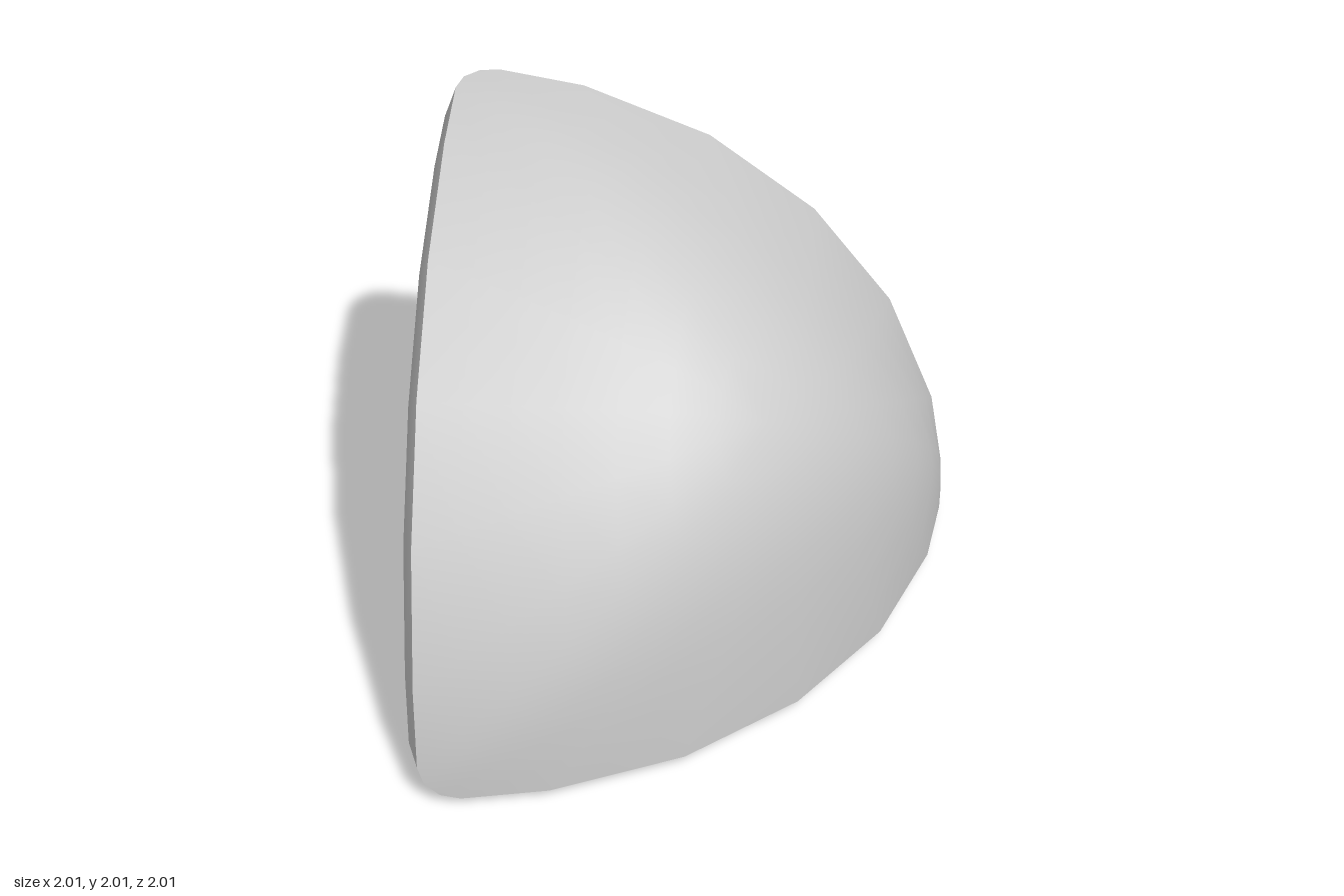
import * as THREE from 'three';

// An eighth of a ball with a cube notch cut from its inner corner.
// Worked out with the ball's centre at the origin, in the positive octant.
const R = 2.01;      // dome radius at the rim
const SWELL = 0.4;   // how far the dome swells into three panels (0 is a sphere, 0.5 is three cylinders)
const RIM = 1.885;   // where the rim chamfer meets the flat faces
const INSET = 0.05;  // dome edge distance from the flat faces
const r = 0.2;       // rounding of the outer edges
const e = 0.14;      // depth of the notch edge rounding
const w = 1.035;     // notch size
const q = w + e;
const ARC = 6, ROUND = 3, RINGS = 7;
const rad = THREE.MathUtils.degToRad;
const V = (x, y, z) => new THREE.Vector3(x, y, z);

// Collects grid patches, each repeated on the three axes
class Surface {
  constructor() { this.pos = []; this.nor = []; }

  triangle(corners) {
    const [a, b, c] = corners.map((corner) => corner.p);
    const face = b.clone().sub(a).cross(c.clone().sub(a));
    if (face.length() < 1e-9) return;
    const mean = corners.reduce((s, corner) => s.add(corner.n), V(0, 0, 0));
    const ordered = face.dot(mean) < 0 ? [corners[0], corners[2], corners[1]] : corners;
    for (let turn = 0; turn < 3; turn++) {
      for (const { p, n } of ordered) {
        const cycle = (v) => [v.getComponent(turn), v.getComponent((turn + 1) % 3), v.getComponent((turn + 2) % 3)];
        this.pos.push(...cycle(p));
        this.nor.push(...cycle(n));
      }
    }
  }

  // fn(i, j) gives a point p and its outward normal n
  patch(i0, i1, rows, fn) {
    for (let i = i0; i < i1; i++) {
      for (let j = 0; j < rows; j++) {
        const a = fn(i, j), b = fn(i + 1, j), c = fn(i + 1, j + 1), d = fn(i, j + 1);
        this.triangle([a, b, c]);
        this.triangle([a, c, d]);
      }
    }
  }

  mesh(name) {
    const g = new THREE.BufferGeometry();
    g.setAttribute('position', new THREE.Float32BufferAttribute(this.pos, 3));
    g.setAttribute('normal', new THREE.Float32BufferAttribute(this.nor, 3));
    g.translate(-1, 0, -1);
    const m = new THREE.Mesh(g, new THREE.MeshStandardMaterial({ color: 0xcccccc }));
    m.name = name;
    return m;
  }
}

// A third of the rim: the arc along the x = 0 face, then the rounded corner on the y axis
function rimPoint(i, inset, radius) {
  if (i <= ARC) {
    const rho = Math.sqrt(radius * radius - inset * inset);
    const end = Math.asin(r / rho);
    const a = i === 0 ? end : i === ARC ? Math.PI / 2 - end : rad(15 * i);
    return V(inset, rho * Math.sin(a), rho * Math.cos(a));
  }
  const t = rad((i - ARC) * 90 / ROUND);
  const x = r - (r - inset) * Math.cos(t), z = r - (r - inset) * Math.sin(t);
  return V(x, Math.sqrt(radius * radius - x * x - z * z), z);
}

function sideNormal(i) {
  const t = rad(Math.max(0, i - ARC) * 90 / ROUND);
  return V(-Math.cos(t), 0, -Math.sin(t));
}

// Dome point in direction d, with its normal
function domePoint(d) {
  const m = (d.x ** -4 + d.y ** -4 + d.z ** -4) ** -0.25; // smooth minimum
  const p = d.clone().multiplyScalar(R * (1 - m * m) ** -SWELL);
  const slope = V((m / d.x) ** 5, (m / d.y) ** 5, (m / d.z) ** 5);
  slope.addScaledVector(d, -slope.dot(d));
  const n = d.clone().addScaledVector(slope, -2 * SWELL * m / (1 - m * m)).normalize();
  return { p, n };
}

export function createModel() {
  const group = new THREE.Group();
  group.name = 'ballCorner';
  const last = ARC + ROUND;

  // Dome, in rings spreading from its middle to the rim
  const dome = new Surface();
  const middle = V(1, 1, 1).setLength(R);
  dome.patch(0, last, RINGS, (i, j) =>
    domePoint(middle.clone().lerp(rimPoint(i, INSET, R), j / RINGS).normalize()));
  group.add(dome.mesh('dome'));

  const body = new Surface();

  // Chamfer between dome and flat faces
  body.patch(0, last, 1, (i, j) => {
    const p = j ? rimPoint(i, INSET, R) : rimPoint(i, 0, RIM);
    const n = sideNormal(i);
    if (j) n.addScaledVector(p.clone().normalize(), 0.42).normalize();
    return { p, n };
  });

  // Flat outer face, from the notch outline to the rim
  body.patch(0, ARC, 1, (i, j) => {
    const n = V(-1, 0, 0);
    if (j) return { p: rimPoint(i, 0, RIM), n };
    const half = ARC / 2, start = i <= half ? V(0, r, q) : V(0, q, r);
    return { p: start.lerp(V(0, q, q), 1 - Math.abs(i - half) / half), n };
  });

  // Rounded outer edge along each axis
  body.patch(ARC, last, 1, (i, j) => {
    const p = rimPoint(i, 0, RIM);
    if (!j) p.y = q;
    return { p, n: sideNormal(i) };
  });

  // Rounded notch edges, mitred where they meet
  for (const swap of [false, true]) {
    body.patch(0, ROUND, 1, (i, j) => {
      const t = rad(i * 90 / ROUND), c = Math.cos(t), s = Math.sin(t);
      const y = q - e * s;
      const p = V(r - r * c, y, j ? y : r), n = V(-c / r, -s / e, 0).normalize();
      if (swap) for (const v of [p, n]) v.set(v.x, v.z, v.y);
      return { p, n };
    });
  }

  // Rounded corner on each arm
  body.patch(0, ROUND, ROUND, (i, j) => {
    const t = rad(i * 90 / ROUND), f = rad(j * 90 / ROUND);
    const d = V(-Math.cos(t) * Math.cos(f), -Math.sin(f), -Math.sin(t) * Math.cos(f));
    const size = V(r, e, r);
    return { p: V(r, q, r).add(d.clone().multiply(size)), n: d.divide(size).normalize() };
  });

  // Flat notch wall
  body.patch(0, 1, 1, (i, j) => ({ p: V(i ? w : r, w, j ? w : r), n: V(0, -1, 0) }));

  group.add(body.mesh('notchedBody'));
  return group;
}
